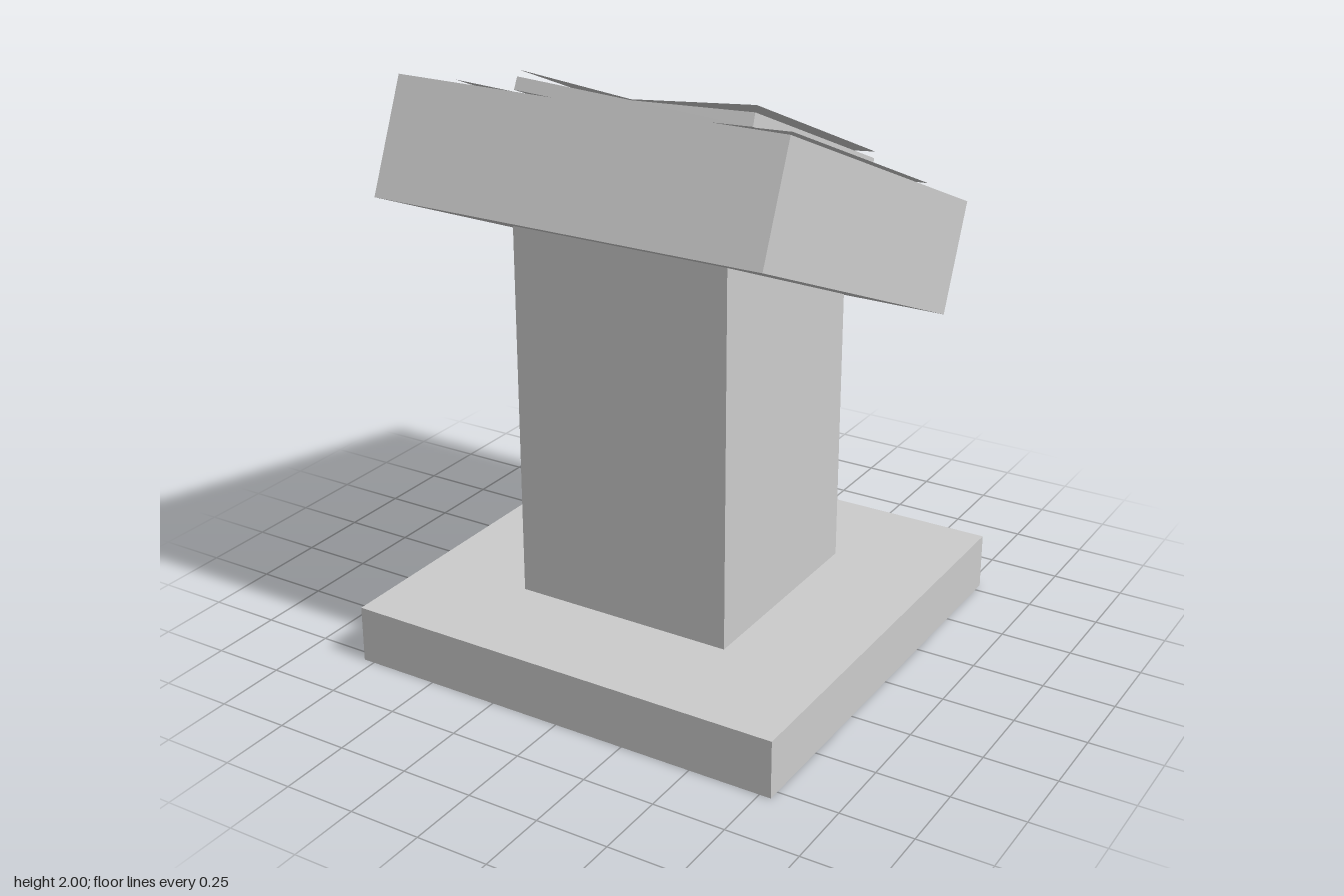
import * as THREE from 'three';

const grey = new THREE.MeshStandardMaterial({ color: 0xcccccc, flatShading: true });
const thin = new THREE.MeshStandardMaterial({ color: 0xcccccc, flatShading: true, side: THREE.DoubleSide });

function box(name, w, h, d, y) {
  const mesh = new THREE.Mesh(new THREE.BoxGeometry(w, h, d), grey);
  mesh.name = name;
  mesh.position.y = y;
  return mesh;
}

// Thin sheet folded along z: profile holds [x, y] points from left to right
function foldedSheet(name, profile, length) {
  const geo = new THREE.PlaneGeometry(1, length, profile.length - 1, 1).rotateX(-Math.PI / 2);
  const pos = geo.attributes.position;
  for (let i = 0; i < pos.count; i++) {
    const [x, y] = profile[i % profile.length];
    pos.setXYZ(i, x, y, pos.getZ(i));
  }
  geo.computeVertexNormals();
  const mesh = new THREE.Mesh(geo, thin);
  mesh.name = name;
  return mesh;
}

export function createModel() {
  const model = new THREE.Group();
  model.name = 'lectern';

  // Square foot and column
  model.add(box('base', 1.58, 0.2, 1.58, 0.1));
  model.add(box('column', 0.79, 1.31, 0.79, 0.855));

  // Sloping desk carrying the book
  const desk = new THREE.Group();
  desk.name = 'desk';
  desk.position.y = 1.555;
  desk.rotation.x = -Math.PI / 8;
  desk.add(box('deskTop', 1.38, 0.39, 1.38, 0));
  model.add(desk);

  // Open book, its halves rising slightly from the spine
  const book = new THREE.Group();
  book.name = 'openBook';
  book.position.set(0, 0.195, -0.008);
  desk.add(book);

  book.add(foldedSheet('cover', [[-0.605, 0.026], [-0.06, 0.003], [0.06, 0.003], [0.605, 0.026]], 1.045));

  const section = new THREE.Shape();
  [[-0.432, 0.03], [0, 0.012], [0.432, 0.03], [0.43, 0.073], [0, 0.053], [-0.43, 0.073]]
    .forEach(([x, y], i) => (i ? section.lineTo(x, y) : section.moveTo(x, y)));
  const pages = new THREE.Mesh(
    new THREE.ExtrudeGeometry(section, { depth: 0.885, bevelEnabled: false }).translate(0, 0, -0.4425), grey);
  pages.name = 'pageBlock';
  book.add(pages);

  // Loose top leaves lifting off the block
  book.add(foldedSheet('topLeaves', [[-0.43, 0.095], [0, 0.056], [0.43, 0.095]], 0.885));

  return model;
}
